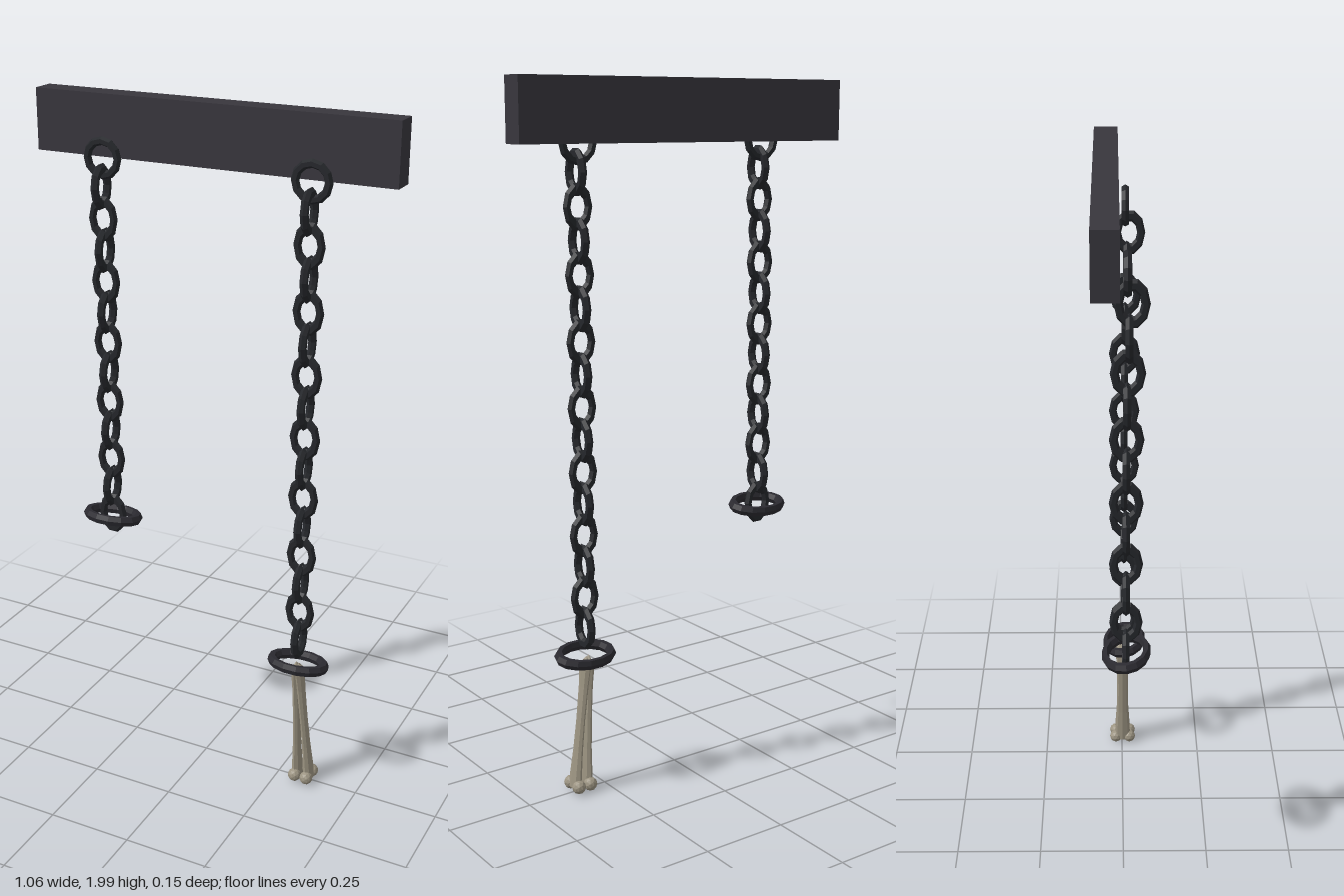
import * as THREE from 'three';

const flat = (color, name) => {
  const m = new THREE.MeshStandardMaterial({ color, flatShading: true });
  m.name = name;
  return m;
};

export function createModel() {
  const model = new THREE.Group();
  model.name = 'hangingShackles';
  const beamMat = flat(0x38363d, 'dark beam');
  const chainMat = flat(0x25272b, 'chain iron');
  const shackleMat = flat(0x2b2a30, 'shackle iron');
  const boneMat = flat(0x9c9482, 'old bone');

  const add = (parent, name, geo, mat, x, y, z) => {
    const mesh = new THREE.Mesh(geo, mat);
    mesh.name = name;
    mesh.position.set(x, y, z);
    parent.add(mesh);
    return mesh;
  };

  // Wall beam
  add(model, 'beam', new THREE.BoxGeometry(1.06, 0.17, 0.068), beamMat, 0, 1.915, -0.045);

  const ringGeo = new THREE.TorusGeometry(0.047, 0.012, 6, 12);
  const linkGeo = new THREE.TorusGeometry(0.034, 0.0115, 6, 10).scale(1, 1.44, 1);
  const shackleGeo = new THREE.TorusGeometry(0.08, 0.0145, 6, 14)
    .rotateX(Math.PI / 2).scale(1, 1.1, 0.73);

  // One chain: mounting ring, alternating links, shackle at the end
  const chain = (name, x, count, shackleY) => {
    const group = new THREE.Group();
    group.name = name;
    model.add(group);
    add(group, 'mountingRing', ringGeo, chainMat, x, 1.831, 0.009);
    for (let i = 0; i < count; i++) {
      const z = 0.006 + 0.014 * Math.exp(-i * 0.6);
      const link = add(group, 'link', linkGeo, chainMat, x, 1.755 - i * 0.0903, z);
      if (i % 2 === 0) link.rotation.y = Math.PI / 2;
    }
    add(group, 'shackle', shackleGeo, shackleMat, x, shackleY, 0.007).rotation.x = -0.15;
  };
  chain('rightChain', -0.312, 12, 0.755);
  chain('leftChain', 0.305, 15, 0.41);

  // Forearm bones: flattened shaft flaring to a pair of knuckles
  const shaftGeo = new THREE.LatheGeometry([
    [0, 0.01], [0.015, 0.02], [0.0135, 0.06], [0.011, 0.13],
    [0.01, 0.22], [0.011, 0.32], [0.014, 0.385], [0, 0.41],
  ].map(([r, y]) => new THREE.Vector2(r, y)), 8).scale(1, 1, 1.75);
  const knobGeo = new THREE.IcosahedronGeometry(0.02, 1);
  const bone = (name, x, topX) => {
    const group = new THREE.Group();
    group.name = name;
    group.position.set(x, 0, 0.002);
    group.rotation.z = Math.atan2(x - topX, 0.4);
    add(group, 'shaft', shaftGeo, boneMat, 0, 0, 0);
    for (const z of [-0.022, 0.022]) add(group, 'knuckle', knobGeo, boneMat, 0, 0.026, z);
    model.add(group);
  };
  bone('innerBone', 0.312, 0.298);
  bone('outerBone', 0.352, 0.306);

  return model;
}
